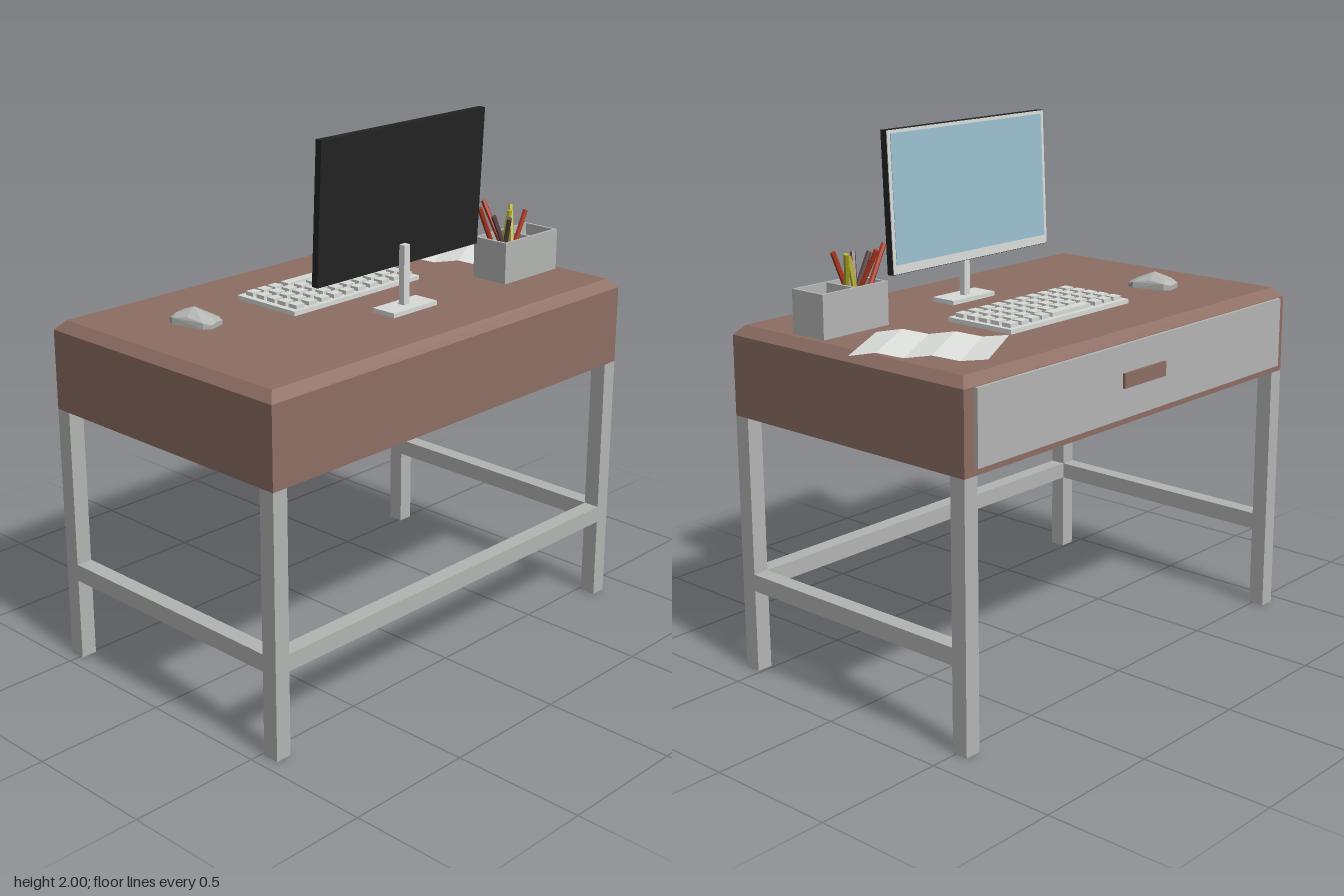
import * as THREE from 'three';
import { ConvexGeometry } from 'three/addons/geometries/ConvexGeometry.js';

const mat = (name, color, side = THREE.FrontSide) => {
  const m = new THREE.MeshStandardMaterial({ color, side });
  m.name = name;
  return m;
};

export function createModel() {
  const brown = mat('brown wood', 0x8d6e63);
  const grey = mat('grey metal', 0xb3b5b3);
  const light = mat('light plastic', 0xd9dbd9);
  const paperWhite = mat('paper white', 0xdfe1df, THREE.DoubleSide);
  const black = mat('black casing', 0x232323);
  const blue = mat('screen blue', 0x9ac0d0);
  const red = mat('pencil red', 0xb23a20);
  const umber = mat('pencil umber', 0x634a4a);
  const yellow = mat('pencil yellow', 0xb5b02a);

  const model = new THREE.Group();
  model.name = 'desk';
  const group = (name) => {
    const g = new THREE.Group();
    g.name = name;
    model.add(g);
    return g;
  };
  const add = (parent, name, geometry, material) => {
    const m = new THREE.Mesh(geometry, material);
    m.name = name;
    parent.add(m);
    return m;
  };
  // box given by its extents
  const box = (parent, name, material, x0, x1, y0, y1, z0, z1) => {
    const m = add(parent, name, new THREE.BoxGeometry(x1 - x0, y1 - y0, z1 - z0), material);
    m.position.set((x0 + x1) / 2, (y0 + y1) / 2, (z0 + z1) / 2);
    return m;
  };

  const X0 = -0.95, X1 = 0.89, Z0 = -0.55, Z1 = 0.575, TOP = 1.32, LEG = 0.063;

  // desk body with a chamfered top
  box(model, 'deskBody', brown, X0, X1, 0.985, 1.285, Z0, Z1);
  const lid = box(model, 'deskTop', brown, X0, X1, 1.285, TOP, Z0, Z1);
  const p = lid.geometry.attributes.position;
  for (let i = 0; i < p.count; i++) {
    if (p.getY(i) > 0) {
      p.setX(i, p.getX(i) - Math.sign(p.getX(i)) * 0.033);
      p.setZ(i, p.getZ(i) - Math.sign(p.getZ(i)) * 0.033);
    }
  }
  lid.geometry.computeVertexNormals();

  // drawer
  box(model, 'drawerFront', grey, -0.91, 0.84, 1.012, 1.283, Z0 - 0.014, Z0);
  box(model, 'drawerHandle', brown, -0.155, 0.085, 1.125, 1.18, Z0 - 0.024, Z0 - 0.014);

  // legs and stretchers
  const frame = group('legFrame');
  for (const x of [X0, X1 - LEG]) {
    for (const z of [Z0, Z1 - LEG]) box(frame, 'leg', grey, x, x + LEG, 0, 0.985, z, z + LEG);
    box(frame, 'sideStretcher', grey, x, x + LEG, 0.32, 0.385, Z0 + LEG, Z1 - LEG);
  }
  box(frame, 'longStretcher', grey, X0 + LEG, X1 - LEG, 0.32, 0.385, Z1 - LEG, Z1);

  // monitor, tilted back, with its screen towards the drawer side
  const monitor = group('monitor');
  monitor.position.set(0.025, 1.74, 0.227);
  monitor.rotation.x = 0.045;
  box(monitor, 'monitorCasing', black, -0.425, 0.425, -0.26, 0.26, -0.013, 0.014);
  box(monitor, 'bezel', light, -0.423, 0.423, -0.258, 0.258, -0.016, -0.013);
  box(monitor, 'screen', blue, -0.408, 0.408, -0.225, 0.246, -0.018, -0.016);

  const stand = group('monitorStand');
  box(stand, 'standBase', light, -0.09, 0.14, TOP, 1.337, 0.2, 0.305);
  box(stand, 'standPost', light, 0.01, 0.04, 1.337, 1.56, 0.235, 0.26);

  // keyboard
  const keyboard = group('keyboard');
  box(keyboard, 'keyboardBase', light, -0.32, 0.345, TOP, 1.337, -0.27, 0.033);
  const key = (x, z, w = 0.042) =>
    box(keyboard, 'key', light, x - w / 2, x + w / 2, 1.337, 1.352, z - 0.02, z + 0.02);
  for (const z of [-0.173, -0.117, -0.06, -0.003]) {
    for (let i = 0; i < 10; i++) key(-0.275 + i * 0.0642, z);
  }
  for (const x of [-0.275, -0.22, -0.165]) key(x, -0.23);
  key(-0.01, -0.23, 0.215);
  for (const x of [0.135, 0.19, 0.248, 0.305]) key(x, -0.23);

  // faceted mouse: half sections of [z, [x, y], ...], mirrored
  const halfSections = [
    [-0.09, [0.032, 0], [0.032, 0.018]],
    [-0.065, [0.052, 0], [0.052, 0.025], [0.025, 0.038]],
    [-0.005, [0.047, 0], [0.047, 0.034], [0, 0.062]],
    [0.065, [0.052, 0], [0.05, 0.022], [0, 0.033]],
    [0.09, [0.035, 0], [0.035, 0.014], [0, 0.02]],
  ];
  const mousePoints = [];
  for (const [z, ...pts] of halfSections) {
    for (const [x, y] of pts) {
      mousePoints.push(new THREE.Vector3(x, y, z));
      if (x) mousePoints.push(new THREE.Vector3(-x, y, z));
    }
  }
  const mouse = add(model, 'mouse', new ConvexGeometry(mousePoints), grey);
  mouse.position.set(-0.62, TOP, -0.16);
  mouse.rotation.y = 0.26;

  // folded sheet of paper: pleats across its length
  const folds = [0.018, 0.008, 0.022, 0.008, 0.022, 0.006];
  let sheet = new THREE.PlaneGeometry(0.346, 0.475, 1, folds.length - 1).rotateX(-Math.PI / 2);
  const sp = sheet.attributes.position;
  for (let i = 0; i < sp.count; i++) sp.setY(i, folds[Math.floor(i / 2)]);
  sheet = sheet.toNonIndexed();
  sheet.computeVertexNormals();
  const paper = add(model, 'paper', sheet, paperWhite);
  paper.position.set(0.675, TOP, -0.197);
  paper.rotation.y = 0.525;

  // pencil box with a divider
  const holder = group('pencilBox');
  const W = 0.012;
  box(holder, 'boxFloor', grey, 0.52, 0.833, TOP, TOP + W, 0.158, 0.314);
  for (const x of [0.52, 0.67, 0.833 - W]) {
    box(holder, 'boxEndWall', grey, x, x + W, TOP + W, 1.48, 0.158 + W, 0.314 - W);
  }
  for (const z of [0.158, 0.314 - W]) {
    box(holder, 'boxSideWall', grey, 0.52, 0.833, TOP + W, 1.48, z, z + W);
  }

  // pencils: colour, foot x and z, tip x, y and z
  const pencils = [
    [red, 0.63, 0.205, 0.49, 1.605, 0.205],
    [red, 0.635, 0.26, 0.595, 1.605, 0.135],
    [umber, 0.62, 0.275, 0.52, 1.575, 0.25],
    [umber, 0.635, 0.2, 0.55, 1.57, 0.303],
    [red, 0.56, 0.275, 0.655, 1.585, 0.295],
    [yellow, 0.6, 0.285, 0.667, 1.59, 0.212],
    [yellow, 0.615, 0.2, 0.635, 1.575, 0.235],
  ];
  const up = new THREE.Vector3(0, 1, 0);
  for (const [material, fx, fz, tx, ty, tz] of pencils) {
    const foot = new THREE.Vector3(fx, TOP + W, fz);
    const tip = new THREE.Vector3(tx, ty, tz);
    const dir = tip.clone().sub(foot);
    const pencil = add(holder, 'pencil', new THREE.CylinderGeometry(0.01, 0.01, dir.length(), 6).toNonIndexed(), material);
    pencil.geometry.computeVertexNormals();
    pencil.position.copy(foot).add(tip).multiplyScalar(0.5);
    pencil.quaternion.setFromUnitVectors(up, dir.normalize());
  }

  return model;
}
